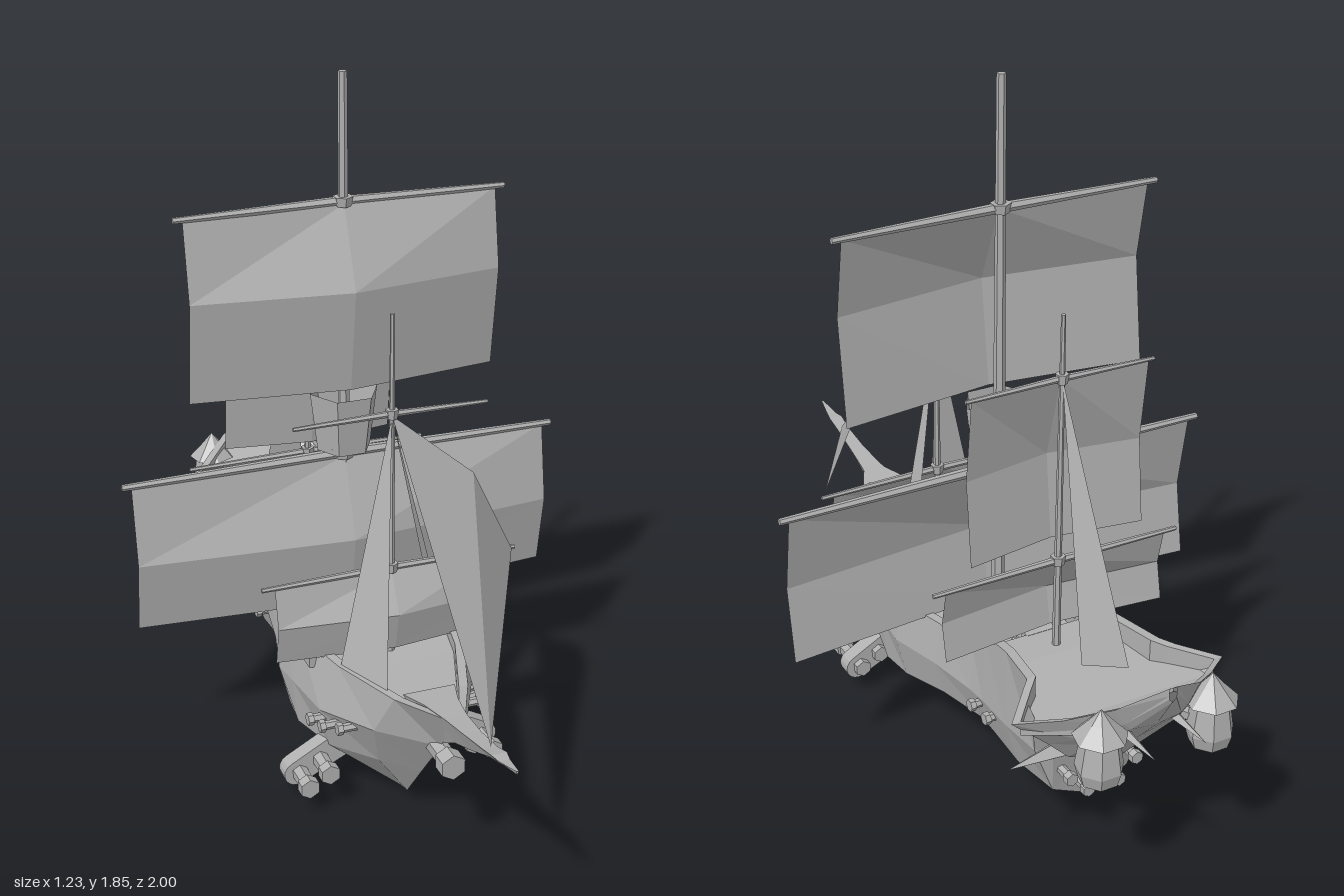
import * as THREE from 'three';

const grey = new THREE.MeshStandardMaterial({ color: 0xb0b0b0, flatShading: true, side: THREE.DoubleSide });
grey.name = 'plainGrey';

function add(parent, name, geometry, x = 0, y = 0, z = 0) {
  const m = new THREE.Mesh(geometry, grey);
  m.name = name;
  m.position.set(x, y, z);
  parent.add(m);
  return m;
}

// Skin a list of closed rings, each a list of [x, y, z], running bow to stern
function loft(rings) {
  const n = rings[0].length, index = [];
  for (let i = 0; i < rings.length - 1; i++) {
    for (let j = 0; j < n; j++) {
      const k = (j + 1) % n, a = i * n + j, b = i * n + k, c = b + n, d = a + n;
      index.push(a, d, b, b, d, c);
    }
  }
  const g = new THREE.BufferGeometry();
  g.setAttribute('position', new THREE.Float32BufferAttribute(rings.flat(2), 3));
  g.setIndex(index);
  g.computeVertexNormals();
  return g;
}

function triangles(points, index) {
  const g = new THREE.BufferGeometry();
  g.setAttribute('position', new THREE.Float32BufferAttribute(points.flat(), 3));
  g.setIndex(index);
  g.computeVertexNormals();
  return g;
}

// Tapered rod between two points
function rod(parent, name, from, to, r0, r1, sides = 6) {
  const a = new THREE.Vector3(...from), b = new THREE.Vector3(...to);
  const dir = b.clone().sub(a);
  const m = add(parent, name, new THREE.CylinderGeometry(r1, r0, dir.length(), sides));
  m.position.copy(a).add(b).multiplyScalar(0.5);
  m.quaternion.setFromUnitVectors(new THREE.Vector3(0, 1, 0), dir.normalize());
  return m;
}

function hull(parent) {
  // z, rake, keel y, chine x y, middle x y, rail x y, deck y
  const stations = [
    [0.44, 0.8, 0.03, 0, 0.15, 0, 0.3, 0.015, 0.44, 0.43],
    [0.36, 0.5, 0.015, 0.09, 0.16, 0.13, 0.3, 0.10, 0.42, 0.40],
    [0.24, 0.2, 0.005, 0.18, 0.15, 0.215, 0.28, 0.175, 0.42, 0.39],
    [0.1, 0, 0, 0.22, 0.15, 0.235, 0.28, 0.215, 0.42, 0.39],
    [0.0, 0, 0.035, 0.21, 0.15, 0.24, 0.27, 0.225, 0.39, 0.35],
    [-0.15, 0, 0.1, 0.175, 0.17, 0.2, 0.27, 0.185, 0.39, 0.35],
    [-0.3, 0, 0.11, 0.14, 0.17, 0.175, 0.27, 0.165, 0.39, 0.35],
    [-0.36, 0, 0.1, 0.135, 0.16, 0.17, 0.27, 0.165, 0.47, 0.43],
    [-0.48, 0, 0.08, 0.13, 0.14, 0.17, 0.27, 0.17, 0.49, 0.44],
    [-0.62, 0, 0.09, 0.11, 0.14, 0.165, 0.28, 0.19, 0.5, 0.44],
    [-0.65, 0, 0.26, 0.13, 0.3, 0.19, 0.39, 0.22, 0.49, 0.44],
    [-0.74, 0, 0.28, 0.14, 0.33, 0.2, 0.39, 0.3, 0.48, 0.44],
    [-0.82, 0, 0.39, 0.12, 0.41, 0.16, 0.44, 0.21, 0.51, 0.46],
    [-0.9, 0, 0.48, 0.07, 0.49, 0.09, 0.51, 0.12, 0.56, 0.53],
    [-0.96, 0, 0.58, 0.01, 0.59, 0.01, 0.6, 0.01, 0.62, 0.61],
  ];
  const rings = stations.map(([z, rake, ky, cx, cy, mx, my, rx, ry, dy]) => {
    const inner = Math.max(rx - 0.025, 0);
    const half = [[cx, cy], [mx, my], [rx, ry], [inner, ry], [inner, dy]];
    const ring = [[0, ky], ...half, [0, dy], ...half.map(([x, y]) => [-x, y]).reverse()];
    return ring.map(([x, y]) => [x, y, z + rake * (y - 0.15)]);
  });
  add(parent, 'hull', loft(rings));

  // Pointed prow: z, top y, bottom y, half width
  const prow = [
    [0.48, 0.42, 0.28, 0.07], [0.56, 0.43, 0.31, 0.045], [0.65, 0.44, 0.365, 0.03],
    [0.75, 0.455, 0.405, 0.022], [0.85, 0.475, 0.45, 0.018], [0.9, 0.49, 0.465, 0.02],
    [0.93, 0.49, 0.475, 0.014], [1, 0.505, 0.495, 0.003],
  ].reverse();
  add(parent, 'prow', loft(prow.map(([z, t, b, w]) => [[0, b, z], [w, t, z], [-w, t, z]])));
  rod(parent, 'bowCannon', [0, 0.29, 0.45], [0, 0.29, 0.61], 0.026, 0.026);
  rod(parent, 'bowCannonMuzzle', [0, 0.29, 0.6], [0, 0.29, 0.645], 0.035, 0.035);

  // Steps from the waist up to the aft deck
  for (let i = 0; i < 3; i++) {
    add(parent, 'deckStep', new THREE.BoxGeometry(0.085, 0.025, 0.03), 0, 0.365 + i * 0.027, -0.3 - i * 0.026);
  }
}

function hullSide(parent, s) {
  // Raised bulwark beside the foredeck
  add(parent, 'foreBulwark', new THREE.BoxGeometry(0.03, 0.075, 0.2), s * 0.205, 0.408, 0.1);
  add(parent, 'waistBulwark', new THREE.BoxGeometry(0.025, 0.05, 0.13), s * 0.2, 0.38, 0.045);

  // Broadside guns: z, y, hull x
  for (const [z, y, x] of [[0.36, 0.275, 0.17], [0.31, 0.26, 0.2], [0.26, 0.255, 0.215],
    [-0.34, 0.25, 0.165], [-0.41, 0.25, 0.16]]) {
    rod(parent, 'sideCannon', [s * (x - 0.03), y, z], [s * (x + 0.025), y, z], 0.012, 0.012);
    rod(parent, 'sideCannonMuzzle', [s * (x + 0.018), y, z], [s * (x + 0.033), y, z], 0.017, 0.017);
  }

  // Low outrigger carrying two forward guns
  const arm = new THREE.Shape();
  const tilt = Math.atan2(-0.065, 0.13);
  arm.absarc(0.15, 0.14, 0.038, tilt + Math.PI / 2, tilt + Math.PI * 1.5);
  arm.absarc(0.27, 0.078, 0.035, tilt - Math.PI / 2, tilt + Math.PI / 2);
  const armGeo = new THREE.ExtrudeGeometry(arm, { depth: 0.045, bevelEnabled: false, curveSegments: 4 });
  add(parent, 'gunOutrigger', armGeo, 0, 0, 0.19).rotation.y = 0;
  if (s < 0) armGeo.rotateY(Math.PI).translate(0, 0, 0.045);
  for (const [x, y] of [[0.205, 0.11], [0.262, 0.08]]) {
    rod(parent, 'outriggerCannon', [s * x, y, 0.17], [s * x, y, 0.31], 0.024, 0.02);
    rod(parent, 'outriggerMuzzle', [s * x, y, 0.29], [s * x, y, 0.32], 0.028, 0.028);
  }

  // Stern guns, side fin, rear spike and lantern
  for (const [x, y] of [[0.045, 0.16], [0.095, 0.21]]) {
    rod(parent, 'sternCannon', [s * x, y, -0.58], [s * x, y, -0.68], 0.013, 0.013);
    rod(parent, 'sternMuzzle', [s * x, y, -0.67], [s * x, y, -0.69], 0.018, 0.018);
  }
  rod(parent, 'sternFin', [s * 0.13, 0.33, -0.7], [s * 0.29, 0.33, -0.715], 0.03, 0.001, 4);
  rod(parent, 'rearSpike', [s * 0.07, 0.465, -0.86], [s * 0.07, 0.468, -1], 0.016, 0.001, 4);
  const profile = [[0, 0.37], [0.05, 0.38], [0.06, 0.415], [0.048, 0.49], [0.068, 0.5], [0.03, 0.54], [0, 0.575]];
  add(parent, 'sternLantern', new THREE.LatheGeometry(profile.map(p => new THREE.Vector2(...p)), 7), s * 0.155, 0, -0.9);
  rod(parent, 'lanternBracket', [s * 0.08, 0.46, -0.82], [s * 0.14, 0.44, -0.89], 0.015, 0.015, 4);
}

function yard(parent, y, z, half, r) {
  for (const s of [-1, 1]) rod(parent, 'yard', [0, y, z], [s * half, y - 0.004, z], r * 1.25, r * 0.75);
  add(parent, 'mastCollar', new THREE.CylinderGeometry(r * 2.4, r * 2, 0.025, 6), 0, y, z);
}

// Billowing square sail, creased across the middle
function squareSail(parent, half, bottom, top, z, bulge, crease = 0.5) {
  const g = new THREE.PlaneGeometry(half * 2, top - bottom, 2, 2);
  const p = g.attributes.position;
  const centre = [0.1, 1, 0.6], edge = [0, 0.4, 0.02];
  for (let i = 0; i < p.count; i++) {
    const row = Math.floor(i / 3), mid = i % 3 === 1;
    p.setY(i, [top, bottom + (top - bottom) * crease, bottom][row]);
    p.setZ(i, bulge * (mid ? centre : edge)[row]);
  }
  g.computeVertexNormals();
  add(parent, 'squareSail', g, 0, 0, z);
}

function rigging(parent) {
  const mainZ = -0.135, foreZ = 0.215, aftZ = -0.44;
  rod(parent, 'mainMast', [0, 0.33, mainZ], [0, 1.85, mainZ], 0.018, 0.012);
  rod(parent, 'foreMast', [0, 0.36, foreZ], [0, 1.33, foreZ], 0.011, 0.006);
  rod(parent, 'aftMast', [0, 0.42, aftZ], [0, 1.35, aftZ], 0.011, 0.006);

  // Yards: y, z, half length, radius
  for (const a of [[0.81, mainZ, 0.615, 0.012], [1.515, mainZ, 0.45, 0.011], [0.635, foreZ, 0.35, 0.008],
    [1.065, foreZ, 0.26, 0.007], [0.685, aftZ, 0.35, 0.008], [1.185, aftZ, 0.26, 0.007]]) yard(parent, ...a);
  squareSail(parent, 0.59, 0.385, 0.805, mainZ, 0.09, 0.48);
  squareSail(parent, 0.425, 1.015, 1.51, mainZ, 0.095, 0.57);
  squareSail(parent, 0.315, 0.415, 0.63, foreZ, 0.06);
  squareSail(parent, 0.315, 0.48, 0.68, aftZ, 0.055);
  squareSail(parent, 0.245, 0.73, 1.18, aftZ, 0.065);

  // Lookout basket
  add(parent, 'lookoutBasket', new THREE.CylinderGeometry(0.095, 0.075, 0.165, 6, 1, true, Math.PI / 6), 0, 0.912, mainZ);
  add(parent, 'lookoutFloor', new THREE.CylinderGeometry(0.077, 0.075, 0.015, 6, 1, false, Math.PI / 6), 0, 0.838, mainZ);

  // Swung headsail with a bulging trailing edge
  const head = [0, 1.06, foreZ];
  add(parent, 'headsail', triangles(
    [head, [0.215, 0.88, 0.24], [0.335, 0.635, 0.23], [0, 0.48, 0.855]], [0, 3, 1, 1, 3, 2]));

  // Rope ladders running down to the rails
  add(parent, 'portForeShroud', triangles([head, [0.195, 0.42, 0.09], [0.2, 0.44, -0.02]], [0, 1, 2]));
  add(parent, 'starboardForeShroud', triangles([head, [-0.165, 0.42, 0.29], [-0.1, 0.42, 0.45]], [0, 1, 2]));
  add(parent, 'aftShroud', triangles([[0, 1.19, aftZ], [-0.06, 0.49, -0.685], [0.035, 0.49, -0.62]], [0, 1, 2]));
}

export function createModel() {
  const ship = new THREE.Group();
  ship.name = 'sailingShip';
  const group = name => {
    const g = new THREE.Group();
    g.name = name;
    ship.add(g);
    return g;
  };
  hull(group('hullAndProw'));
  hullSide(group('leftFittings'), 1);
  hullSide(group('rightFittings'), -1);
  rigging(group('mastsAndSails'));
  return ship;
}
